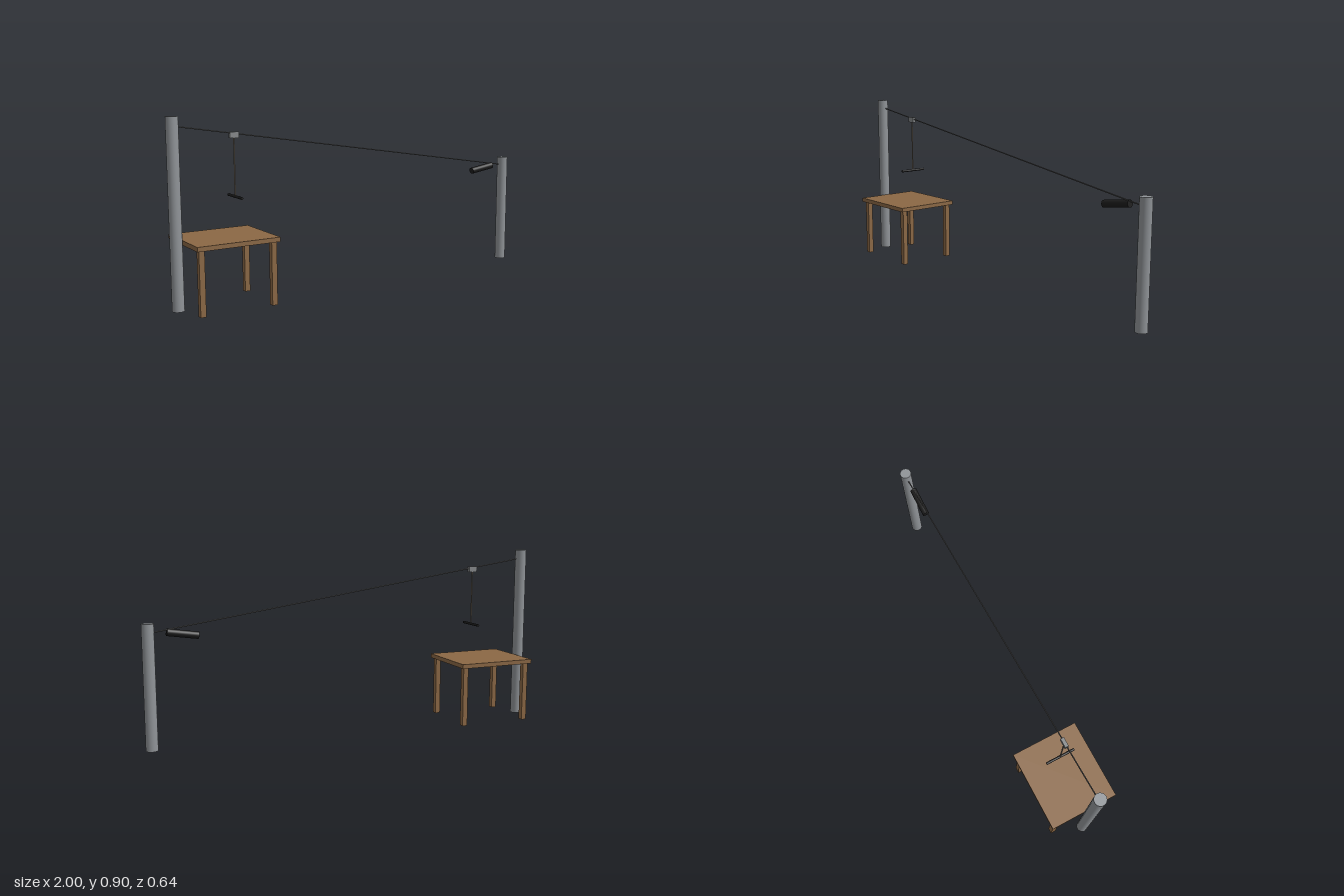
import * as THREE from 'three';

const material = (name, color) => {
  const m = new THREE.MeshStandardMaterial({ color });
  m.name = name;
  return m;
};

export function createModel() {
  const steel = material('post grey', 0x909498);
  const cableGrey = material('cable grey', 0x555555);
  const trolleyGrey = material('trolley grey', 0x85888a);
  const ropeTan = material('rope tan', 0x8a7f70);
  const black = material('black', 0x1c1c1c);
  const wood = material('wood brown', 0x8b6845);

  const model = new THREE.Group();
  model.name = 'zipLine';
  // Everything is laid out along a line that runs diagonally in plan
  const line = new THREE.Group();
  line.name = 'lineAssembly';
  line.rotation.y = 0.2267;
  line.position.z = -0.068;
  model.add(line);

  const add = (name, geometry, mat, x, y, z) => {
    const mesh = new THREE.Mesh(geometry, mat);
    mesh.name = name;
    mesh.position.set(x, y, z);
    line.add(mesh);
    return mesh;
  };
  const rod = (r, length, sides = 24) => new THREE.CylinderGeometry(r, r, length, sides);

  // Posts
  const span = 0.9965;
  add('tallPost', rod(0.029, 0.896, 32), steel, -span, 0.448, 0);
  add('shortPost', rod(0.029, 0.598, 32), steel, span, 0.299, 0);

  // Sloping cable between the posts
  const from = new THREE.Vector3(-span, 0.852, 0);
  const to = new THREE.Vector3(span, 0.553, 0);
  const cable = add('cable', rod(0.003, from.distanceTo(to), 10), cableGrey, 0, (from.y + to.y) / 2, 0);
  cable.quaternion.setFromUnitVectors(new THREE.Vector3(0, 1, 0), to.clone().sub(from).normalize());

  // Trolley with hanging rope and handlebar
  const tx = -0.698;
  add('trolley', new THREE.BoxGeometry(0.045, 0.029, 0.0175), trolleyGrey, tx, 0.8, 0);
  add('rope', rod(0.0035, 0.28, 10), ropeTan, tx, 0.648, 0);
  add('handlebar', rod(0.0065, 0.15, 16), black, tx, 0.509, 0).rotation.x = Math.PI / 2;

  // Brake at the low end
  add('brake', rod(0.0175, 0.15), black, 0.837, 0.543, 0).rotation.z = 0.15 - Math.PI / 2;

  // Launch platform
  const px = -0.76;
  add('platformTop', new THREE.BoxGeometry(0.412, 0.022, 0.354), wood, px, 0.317, 0);
  for (const sx of [-1, 1]) {
    for (const sz of [-1, 1]) {
      add('platformLeg', new THREE.BoxGeometry(0.027, 0.306, 0.027), wood, px + sx * 0.18, 0.153, sz * 0.149);
    }
  }
  return model;
}
